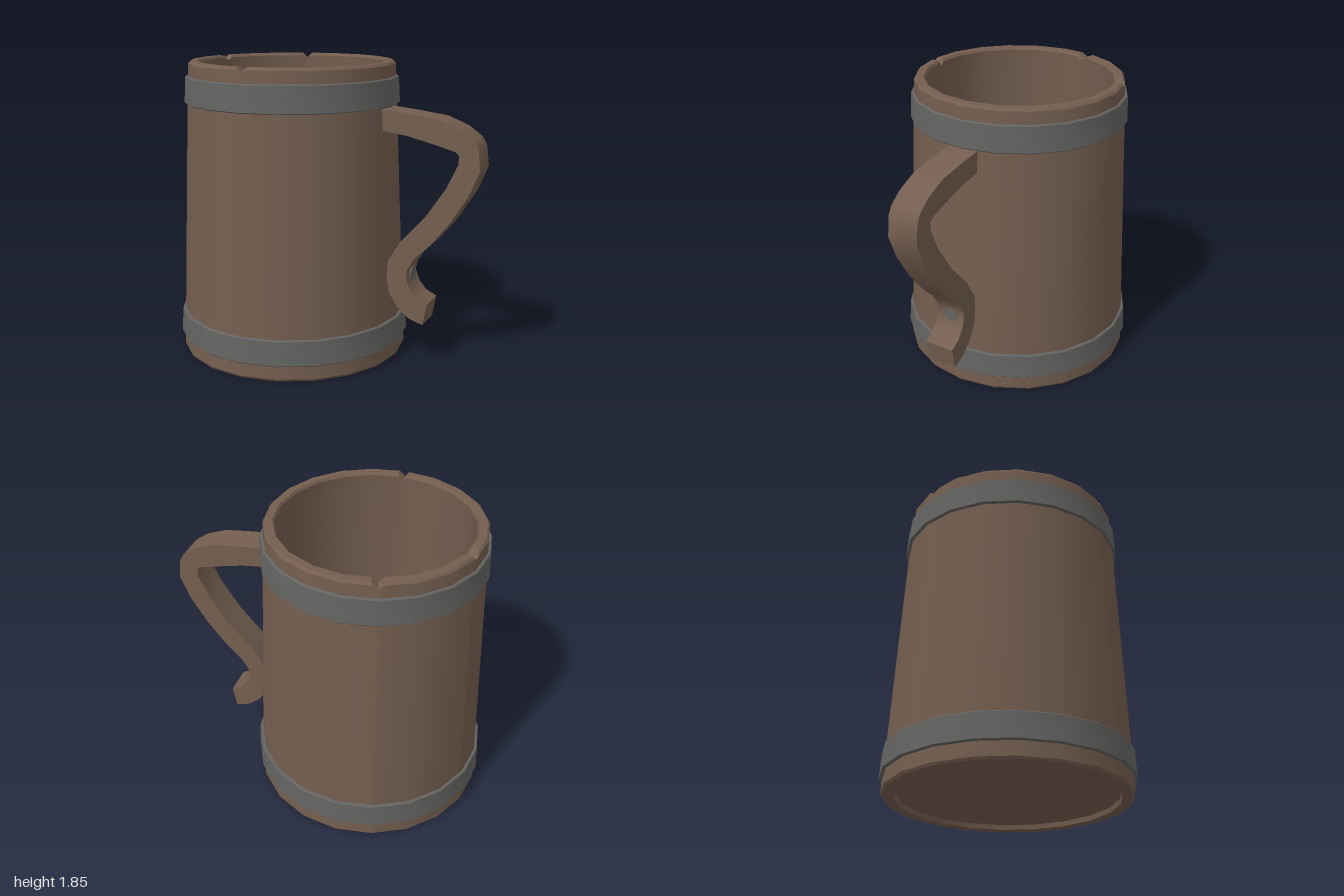
import * as THREE from 'three';
import { toCreasedNormals } from 'three/addons/utils/BufferGeometryUtils.js';

const SIDES = 20, STEP = Math.PI * 2 / SIDES, TAU = Math.PI * 2;

// Chips cut into the rim: angle around the mug, half width in radians, depth
const CHIPS = [
  { at: 0, half: 0.047, depth: 0.04 },
  { at: TAU - 1.847, half: 0.07, depth: 0.035 },
  { at: TAU - 2.84, half: 0.055, depth: 0.035 },
];

function chipDepth(t) {
  let d = 0;
  for (const c of CHIPS) {
    const away = Math.abs(((t - c.at + Math.PI + TAU) % TAU) - Math.PI);
    d = Math.max(d, c.depth * (1 - away / c.half));
  }
  return d;
}

// Turns a profile around y on a 20-sided plan, lowering the rim at each chip
function turnedBody(profile) {
  const angles = Array.from({ length: SIDES }, (_, i) => i * STEP);
  for (const c of CHIPS) {
    for (const k of [-1, 0, 1]) angles.push((c.at + k * c.half + TAU) % TAU);
  }
  const ring = [...new Set(angles.map(a => +a.toFixed(4)))].sort((a, b) => a - b);
  const n = ring.length, positions = [], indices = [];
  for (const [r, y] of profile) {
    for (const t of ring) {
      const plan = r * Math.cos(STEP / 2) / Math.cos((t % STEP) - STEP / 2);
      const height = y > 1.7 ? Math.min(y, 1.85 - chipDepth(t)) : y;
      positions.push(plan * Math.sin(t), height, plan * Math.cos(t));
    }
  }
  for (let j = 0; j < profile.length - 1; j++) {
    for (let i = 0; i < n; i++) {
      const a = j * n + i, b = j * n + (i + 1) % n;
      if (profile[j][0] > 0) indices.push(a, b, b + n);
      if (profile[j + 1][0] > 0) indices.push(a, b + n, a + n);
    }
  }
  const g = new THREE.BufferGeometry();
  g.setAttribute('position', new THREE.Float32BufferAttribute(positions, 3));
  g.setIndex(indices);
  return toCreasedNormals(g, 0.55);
}

// Metal hoop with a rectangular section, open to the body inside
function hoopGeometry(y0, y1, r0, r1) {
  const t = 0.035, b = 0.006;
  const pts = [
    [r0 - t, y0], [r0 - b, y0], [r0, y0 + b],
    [r1, y1 - b], [r1 - b, y1], [r1 - t, y1], [r0 - t, y0],
  ].map(p => new THREE.Vector2(...p));
  return toCreasedNormals(new THREE.LatheGeometry(pts, SIDES), 0.55);
}

export function createModel() {
  const wood = new THREE.MeshStandardMaterial({ color: 0x745e4f });
  wood.name = 'brownWood';
  const iron = new THREE.MeshStandardMaterial({ color: 0x646462 });
  iron.name = 'greyIron';

  const group = new THREE.Group();
  group.name = 'tankard';
  const add = (name, geometry, material, x = 0, y = 0, z = 0) => {
    const mesh = new THREE.Mesh(geometry, material);
    mesh.name = name;
    mesh.position.set(x, y, z);
    group.add(mesh);
    return mesh;
  };
  const cx = -0.255;

  // Hollow body: recessed base, outer wall, rim, inner wall and floor
  add('body', turnedBody([
    [0, 0.03], [0.65, 0.03], [0.655, 0], [0.72, 0], [0.73, 0.015],
    [0.652, 1.75], [0.648, 1.835], [0.635, 1.85],
    [0.59, 1.85], [0.58, 1.835], [0.584, 1.74], [0.65, 0.1], [0, 0.1],
  ]), wood, cx);

  // Hoops
  add('lowerHoop', hoopGeometry(0.1, 0.262, 0.745, 0.737), iron, cx);
  add('upperHoop', hoopGeometry(1.592, 1.76, 0.677, 0.668), iron, cx);

  // S-shaped handle, cut from a flat outline
  const outline = [
    [0.36, 1.588], [0.54, 1.57], [0.74, 1.545], [0.87, 1.495], [0.955, 1.435],
    [0.985, 1.385], [1, 1.26], [0.94, 1.11], [0.83, 0.93], [0.71, 0.78],
    [0.61, 0.68], [0.57, 0.61], [0.56, 0.56], [0.585, 0.49], [0.63, 0.435],
    [0.7, 0.4], [0.675, 0.265], [0.58, 0.295], [0.5, 0.365], [0.45, 0.45],
    [0.435, 0.55], [0.44, 0.65], [0.52, 0.78], [0.68, 0.96], [0.8, 1.14],
    [0.87, 1.29], [0.87, 1.34], [0.85, 1.36], [0.74, 1.39], [0.55, 1.435], [0.36, 1.458],
  ].map(p => new THREE.Vector2(...p));
  const handle = new THREE.ExtrudeGeometry(new THREE.Shape(outline),
    { depth: 0.19, bevelEnabled: false });
  add('handle', toCreasedNormals(handle, 0.6), wood, 0, 0, -0.095);

  // Flat nail head in the lower bend of the handle
  const nail = new THREE.CylinderGeometry(0.045, 0.045, 0.009, 16);
  nail.rotateZ(-Math.PI / 2);
  add('handleNail', nail, iron, 0.57, 0.56, 0);

  return group;
}
